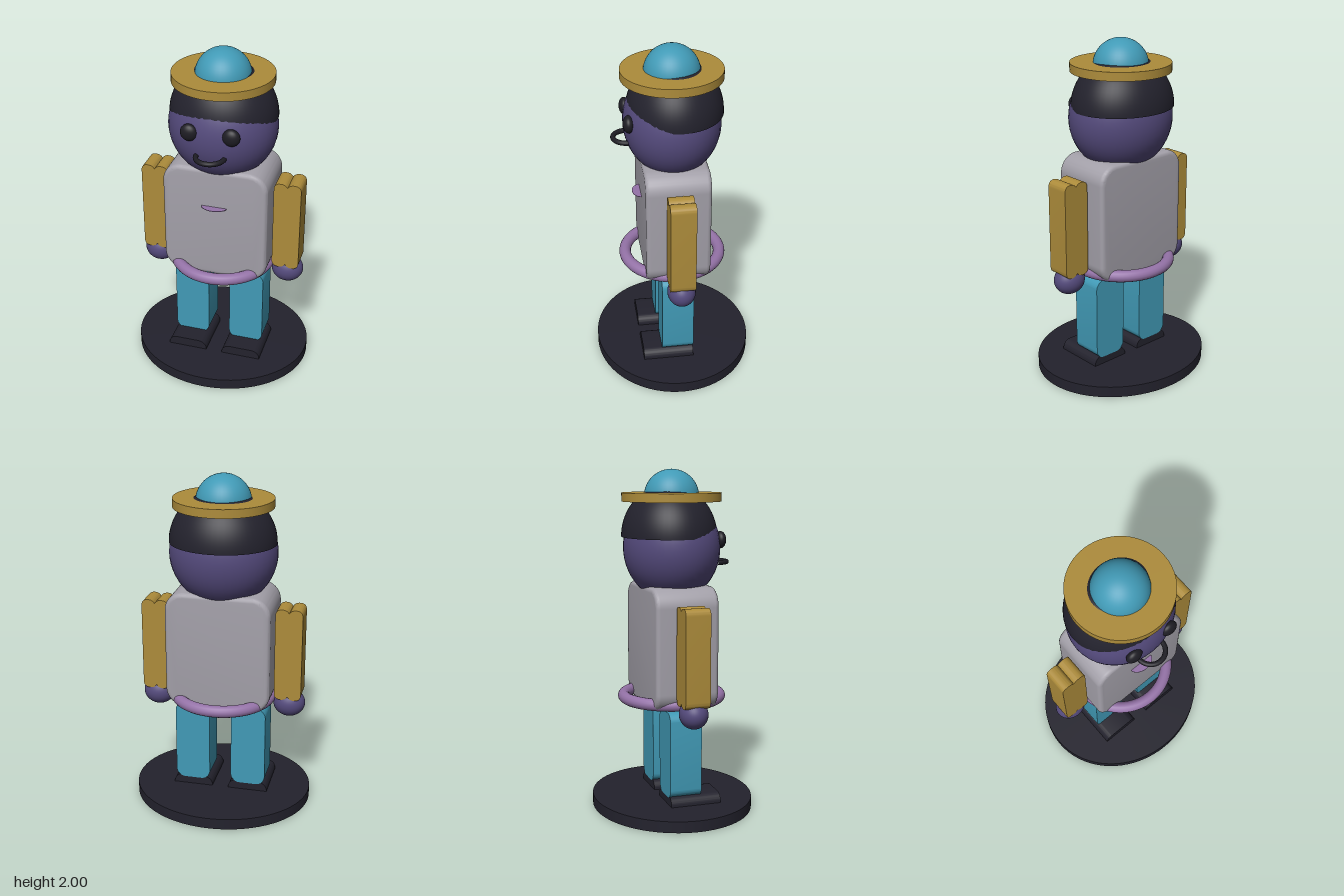
import * as THREE from 'three';
import { toCreasedNormals } from 'three/addons/utils/BufferGeometryUtils.js';

const material = (name, color) => {
  const m = new THREE.MeshStandardMaterial({ color });
  m.name = name;
  return m;
};

// Rounded rectangle centred on x = 0
function roundedShape(w, y0, y1, r) {
  const s = new THREE.Shape();
  const x = w / 2;
  s.moveTo(-x + r, y0);
  s.lineTo(x - r, y0);
  s.absarc(x - r, y0 + r, r, -Math.PI / 2, 0);
  s.lineTo(x, y1 - r);
  s.absarc(x - r, y1 - r, r, 0, Math.PI / 2);
  s.lineTo(-x + r, y1);
  s.absarc(-x + r, y1 - r, r, Math.PI / 2, Math.PI);
  s.lineTo(-x, y0 + r);
  s.absarc(-x + r, y0 + r, r, Math.PI, Math.PI * 1.5);
  return s;
}

// Extrude a shape from z0 to z1, with an optional bevel inside the outline
function extrude(shape, z0, z1, bevel = 0) {
  const g = new THREE.ExtrudeGeometry(shape, {
    depth: z1 - z0 - 2 * bevel,
    curveSegments: 10,
    bevelEnabled: bevel > 0,
    bevelThickness: bevel,
    bevelSize: bevel,
    bevelOffset: -bevel,
    bevelSegments: 4,
  });
  g.translate(0, 0, z0 + bevel);
  return toCreasedNormals(g, 0.6);
}

export function createModel() {
  const model = new THREE.Group();
  model.name = 'figurine';

  const dark = material('dark', 0x23222d);
  const black = material('black', 0x1e1d24);
  const purple = material('purple', 0x544a7c);
  const teal = material('teal', 0x419ab6);
  const gold = material('gold', 0xad8c3b);
  const grey = material('grey', 0xa3a0a9);
  const lilac = material('lilac', 0x9573a8);

  const add = (name, geometry, mat, x = 0, y = 0, z = 0) => {
    const mesh = new THREE.Mesh(geometry, mat);
    mesh.name = name;
    mesh.position.set(x, y, z);
    model.add(mesh);
    return mesh;
  };
  const ellipsoid = (name, mat, [x, y, z], [rx, ry, rz]) =>
    add(name, new THREE.SphereGeometry(1, 40, 28), mat, x, y, z).scale.set(rx, ry, rz);

  // Oval base
  add('base', new THREE.CylinderGeometry(1, 1, 0.066, 72), dark, 0, 0.033, 0)
    .scale.set(0.536, 1, 0.473);

  // Torso, belt and small chest tab
  add('torso', extrude(roundedShape(0.62, 0.63, 1.338, 0.11), -0.187, 0.187, 0.025), grey);
  add('belt', new THREE.TorusGeometry(0.285, 0.035, 16, 72), lilac, 0, 0.67, 0)
    .rotation.x = Math.PI / 2;
  add('chestTab', new THREE.CylinderGeometry(1, 1, 0.003, 32), lilac, 0, 1.1, 0.185)
    .scale.set(0.075, 1, 0.05);

  // Arm outline: two rounded lobes side by side, meeting in a shallow notch
  const lobe = 0.04;
  const notch = 0.022;
  const arm = new THREE.Shape();
  arm.moveTo(0, 0.685 + notch);
  arm.quadraticCurveTo(0.012, 0.685, lobe, 0.685);
  arm.quadraticCurveTo(0.08, 0.685, 0.08, 0.685 + lobe);
  arm.lineTo(0.08, 1.248 - lobe);
  arm.quadraticCurveTo(0.08, 1.248, lobe, 1.248);
  arm.quadraticCurveTo(0.012, 1.248, 0, 1.248 - notch);
  arm.quadraticCurveTo(-0.012, 1.248, -lobe, 1.248);
  arm.quadraticCurveTo(-0.08, 1.248, -0.08, 1.248 - lobe);
  arm.lineTo(-0.08, 0.685 + lobe);
  arm.quadraticCurveTo(-0.08, 0.685, -lobe, 0.685);
  arm.quadraticCurveTo(-0.012, 0.685, 0, 0.685 + notch);

  // Mirrored limbs and eyes
  for (const [side, s] of [['left', 1], ['right', -1]]) {
    add(side + 'Shoe', extrude(roundedShape(0.24, 0.01, 0.122, 0.05), -0.093, 0.21), dark, s * 0.17);
    add(side + 'Leg', extrude(roundedShape(0.21, 0.11, 0.616, 0.055), -0.095, 0.095), teal, s * 0.171);
    add(side + 'Arm', extrude(arm, -0.073, 0.073), gold, s * 0.4);
    ellipsoid(side + 'Hand', purple, [s * 0.402, 0.644, 0], [0.095, 0.084, 0.082]);
    ellipsoid(side + 'Eye', black, [s * 0.12, 1.596, 0.257], [0.05, 0.05, 0.032]);
  }

  // Head with a dome of hair set slightly back
  ellipsoid('head', purple, [0, 1.55, 0], [0.315, 0.315, 0.28]);
  const hair = new THREE.SphereGeometry(1, 56, 20, 0, Math.PI * 2, 0, Math.PI / 2);
  add('hair', hair, dark, 0, 1.612, -0.015).scale.set(0.311, 0.3, 0.276);
  add('hairUnderside', new THREE.CircleGeometry(1, 56).rotateX(Math.PI / 2), dark, 0, 1.612, -0.015)
    .scale.set(0.311, 1, 0.276);

  // Mouth: a half ring standing out from the face
  add('mouth', new THREE.TorusGeometry(0.08, 0.0145, 12, 32, Math.PI), black, 0, 1.459, 0.257)
    .rotation.x = Math.PI / 2;

  // Hat
  add('hatBrim', new THREE.CylinderGeometry(0.29, 0.29, 0.05, 64), gold, 0, 1.84, 0);
  ellipsoid('hatCrown', teal, [0, 1.842, 0], [0.16, 0.158, 0.16]);

  return model;
}
